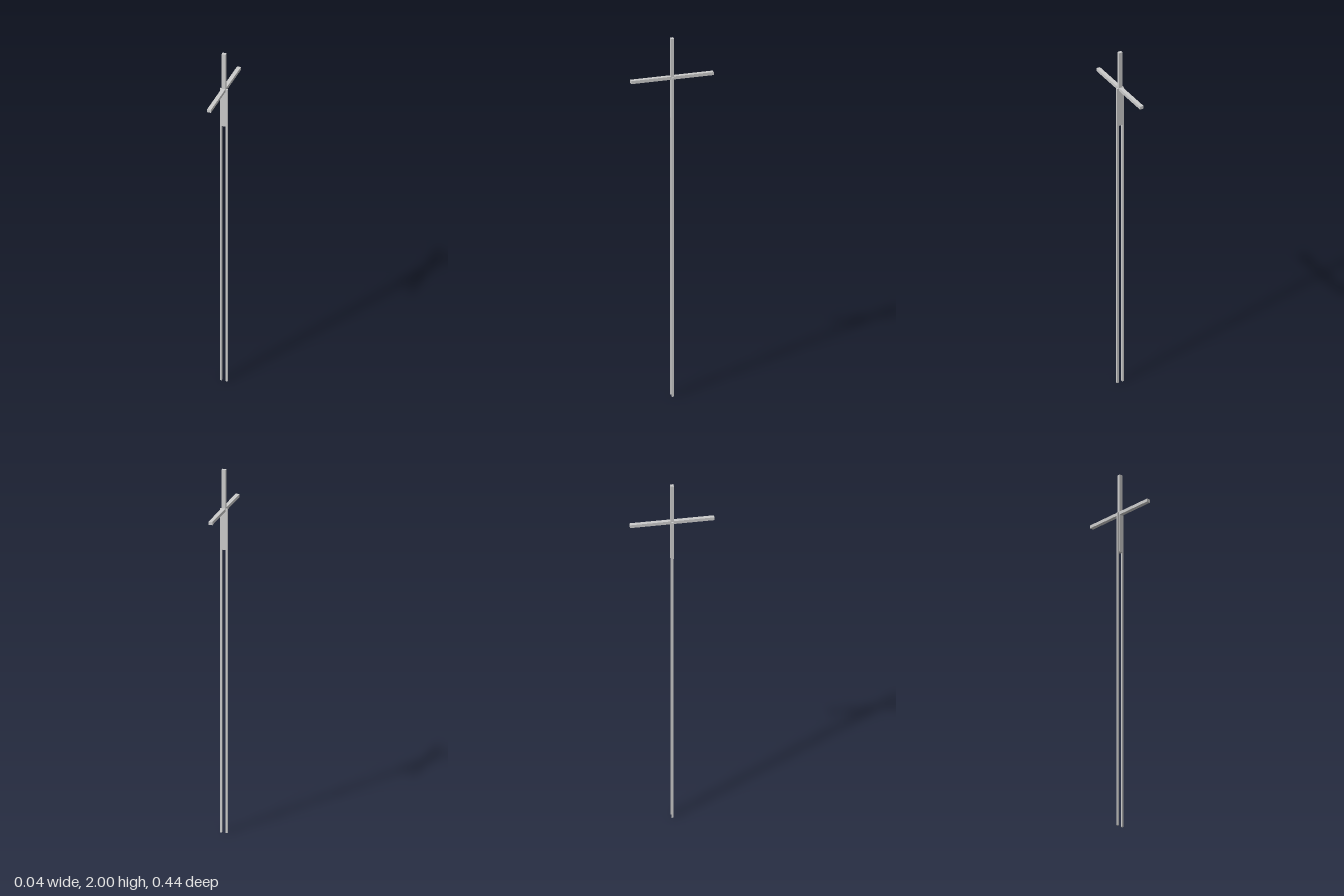
import * as THREE from 'three';

export function createModel() {
  const model = new THREE.Group();
  const material = new THREE.MeshStandardMaterial({ color: 0xcccccc, flatShading: true });

  const addBar = (name, size, position) => {
    const bar = new THREE.Mesh(new THREE.BoxGeometry(...size), material);
    bar.name = name;
    bar.position.set(...position);
    model.add(bar);
  };

  // short upright, clamped between the two legs
  addBar('upright', [0.021, 0.44, 0.017], [0, 1.78, 0]);

  // crossarm running front to back through the middle of the upright
  addBar('crossarm', [0.021, 0.017, 0.444], [0, 1.78, 0]);

  // pair of long thin legs on either side of the upright
  for (const [name, side] of [['leftLeg', 1], ['rightLeg', -1]]) {
    addBar(name, [0.0105, 1.784, 0.0105], [side * 0.01575, 0.892, 0]);
  }

  return model;
}
